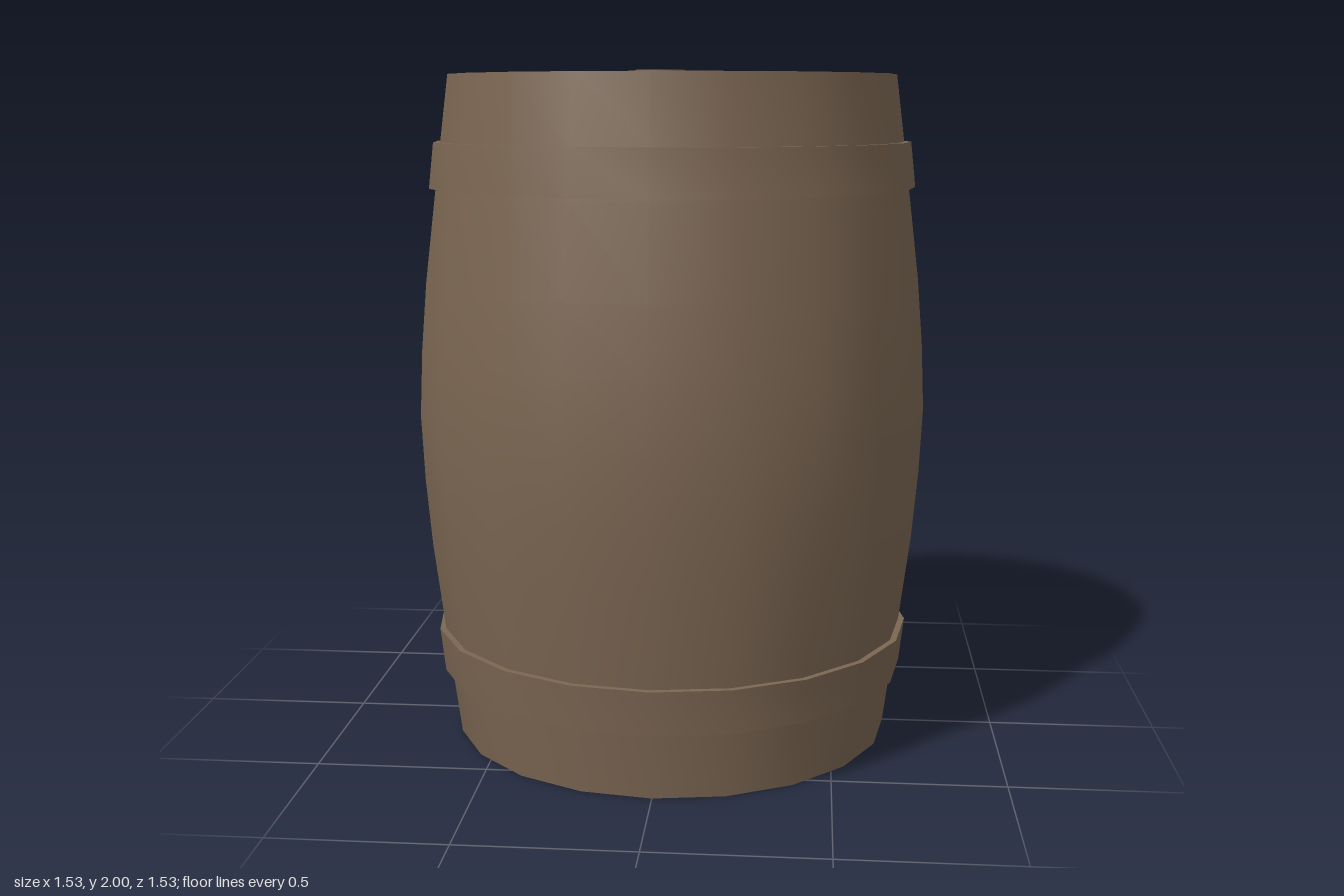
import * as THREE from 'three';
import { toCreasedNormals } from 'three/addons/utils/BufferGeometryUtils.js';

const SIDES = 20;
const wood = new THREE.MeshStandardMaterial({ color: 0x7b6652 });
wood.name = 'brown wood';

function part(name, geometry) {
  const mesh = new THREE.Mesh(toCreasedNormals(geometry, 0.7), wood);
  mesh.name = name;
  return mesh;
}

// Revolves a profile of [radius, height] pairs, listed from the bottom up the outside
function turned(name, profile) {
  return part(name, new THREE.LatheGeometry(profile.map(([r, y]) => new THREE.Vector2(r, y)), SIDES));
}

export function createModel() {
  const barrel = new THREE.Group();
  barrel.name = 'barrel';

  // Staves and recessed heads: lower half, mirrored into the upper half
  const height = 1.993;
  const lower = [
    [0, 0.05], [0.61, 0.05], [0.628, 0], [0.664, 0],
    [0.69, 0.2], [0.707, 0.335], [0.74, 0.6], [0.757, 0.8],
  ];
  const upper = lower.map(([r, y]) => [r, height - y]).reverse();
  barrel.add(turned('body', [...lower, [0.766, height / 2], ...upper]));

  // Hoops, flaring towards the belly
  barrel.add(turned('lowerHoop', [
    [0.68, 0.2], [0.71, 0.2], [0.725, 0.333], [0.69, 0.333],
  ]));
  barrel.add(turned('upperHoop', [
    [0.69, 1.665], [0.725, 1.665], [0.71, 1.798], [0.68, 1.798],
  ]));

  // Bung in the top head
  const topBung = part('topBung', new THREE.CylinderGeometry(0.069, 0.073, 0.07, 24));
  topBung.position.set(0, 1.965, 0.378);
  barrel.add(topBung);

  // Bung low on the back, square to the sloping staves
  const backBung = part('backBung', new THREE.CylinderGeometry(0.067, 0.071, 0.08, 24));
  backBung.position.set(0, 0.47, -0.712);
  backBung.rotation.x = -Math.PI / 2 - 0.22;
  barrel.add(backBung);

  return barrel;
}
